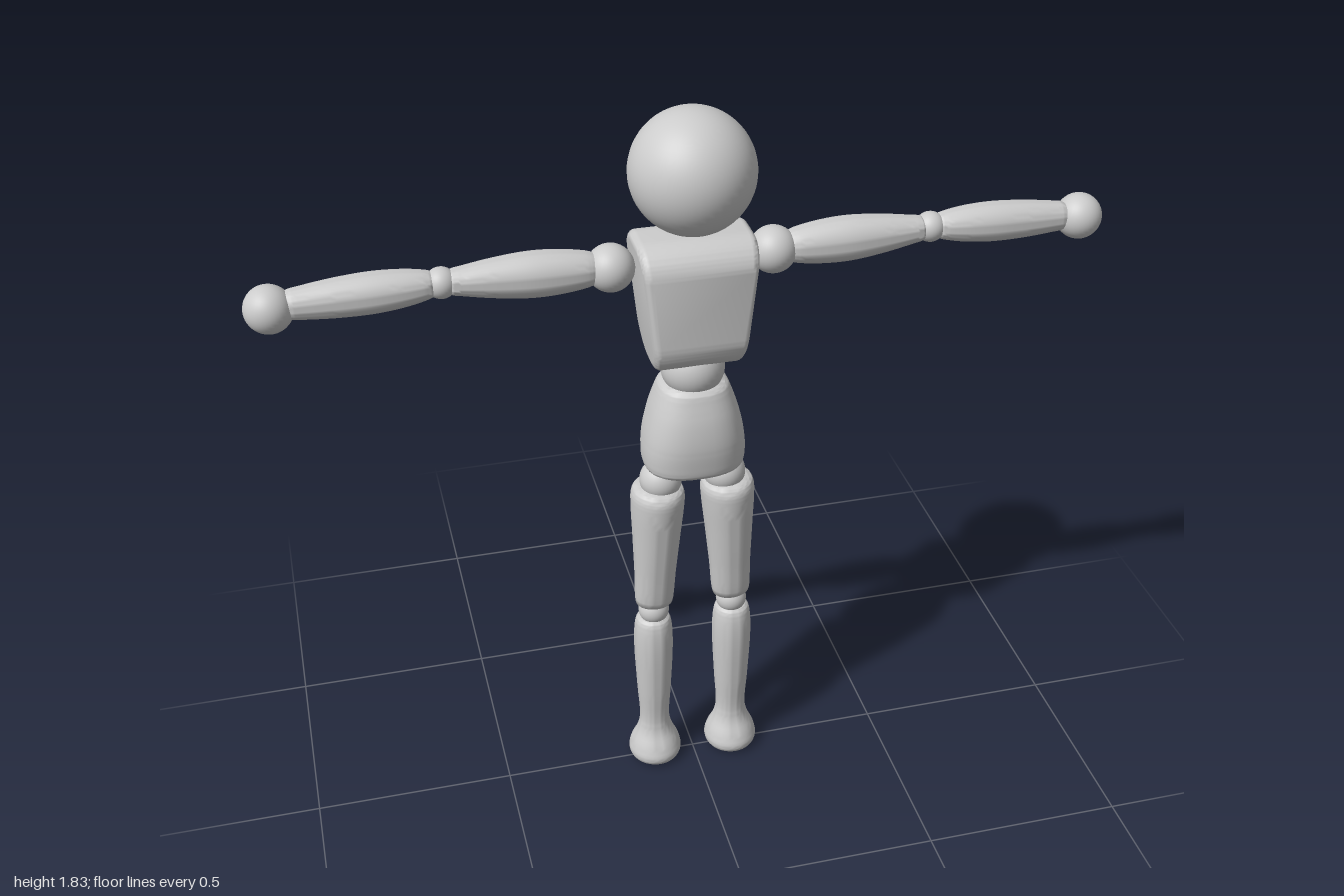
import * as THREE from 'three';
import { mergeVertices, toCreasedNormals } from 'three/addons/utils/BufferGeometryUtils.js';

const material = new THREE.MeshStandardMaterial({ color: 0xcccccc });

function add(group, name, geometry, x = 0, y = 0, z = 0) {
  const mesh = new THREE.Mesh(geometry, material);
  mesh.name = name;
  mesh.position.set(x, y, z);
  group.add(mesh);
  return mesh;
}

const ball = (r, w = 32, h = 24) => new THREE.SphereGeometry(r, w, h);

// Closed loft along y; sections are [y, halfWidthX, halfWidthZ], n is the superellipse power
function loft(sections, n = 2, rings = 40, sides = 40) {
  const curve = new THREE.CatmullRomCurve3(sections.map(s => new THREE.Vector3(...s)));
  const rows = curve.getPoints(rings);
  const first = rows[0], last = rows[rings];
  rows.unshift(new THREE.Vector3(first.x, 0, 0));
  rows.push(new THREE.Vector3(last.x, 0, 0));
  const pos = [], index = [];
  const power = v => Math.sign(v) * Math.abs(v) ** (2 / n);
  for (const r of rows) {
    for (let j = 0; j < sides; j++) {
      const a = j / sides * Math.PI * 2;
      pos.push(r.y * power(Math.cos(a)), r.x, r.z * power(Math.sin(a)));
    }
  }
  for (let i = 0; i < rows.length - 1; i++) {
    for (let j = 0; j < sides; j++) {
      const k = (j + 1) % sides;
      const a = i * sides + j, b = i * sides + k, c = a + sides, d = b + sides;
      if (i > 0) index.push(a, c, b);
      if (i < rows.length - 2) index.push(b, c, d);
      if (i === 0) index.push(a, c, d);
      if (i === 0) index.splice(-6, 3);
      if (i === rows.length - 2) continue;
    }
  }
  const g = new THREE.BufferGeometry();
  g.setAttribute('position', new THREE.Float32BufferAttribute(pos, 3));
  g.setIndex(index);
  return toCreasedNormals(g, 0.7);
}

// Limb segment whose local y axis runs from one joint to the next
function limb(group, name, from, to, sections) {
  const a = new THREE.Vector3(...from), dir = new THREE.Vector3(...to).sub(a);
  const len = dir.length();
  const mesh = add(group, name, loft(sections.map(([t, w, d]) => [t * len, w, d])), ...from);
  mesh.quaternion.setFromUnitVectors(new THREE.Vector3(0, 1, 0), dir.normalize());
}

// Chest: rounded side profile extruded across x, narrowing towards the waist
function chestGeometry() {
  const bevel = 0.02, w = 0.103 - bevel, top = 1.54 - bevel, bottom = 1.212 + bevel;
  const rt = 0.055, rb = 0.07;
  const s = new THREE.Shape();
  s.moveTo(-w + rb, bottom);
  s.lineTo(w - rb, bottom);
  s.absarc(w - rb, bottom + rb, rb, -Math.PI / 2, 0);
  s.lineTo(w, top - rt);
  s.absarc(w - rt, top - rt, rt, 0, Math.PI / 2);
  s.lineTo(-w + rt, top);
  s.absarc(-w + rt, top - rt, rt, Math.PI / 2, Math.PI);
  s.lineTo(-w, bottom + rb);
  s.absarc(-w + rb, bottom + rb, rb, Math.PI, Math.PI * 1.5);
  const half = 0.14;
  const g = new THREE.ExtrudeGeometry(s, {
    depth: 2 * (half - bevel), bevelThickness: bevel, bevelSize: bevel, bevelSegments: 5, curveSegments: 12,
  });
  g.translate(0, 0, -(half - bevel)).rotateY(Math.PI / 2);
  const p = g.attributes.position;
  for (let i = 0; i < p.count; i++) {
    const t = (p.getY(i) - 1.212) / 0.328;
    p.setX(i, p.getX(i) * (0.74 + 0.26 * t));
  }
  g.deleteAttribute('uv');
  g.deleteAttribute('normal');
  return toCreasedNormals(mergeVertices(g, 1e-5), 0.7);
}

export function createModel() {
  const model = new THREE.Group();
  model.name = 'mannequin';

  // Head and trunk
  add(model, 'head', ball(0.145, 48, 32), 0, 1.687);
  add(model, 'chest', chestGeometry());
  add(model, 'waist', ball(0.077), 0, 1.195);
  add(model, 'pelvis', loft([
    [0.928, 0.112, 0.09], [0.936, 0.121, 0.098], [0.97, 0.125, 0.104], [1.02, 0.121, 0.107],
    [1.08, 0.108, 0.1], [1.13, 0.092, 0.086], [1.152, 0.083, 0.078], [1.159, 0.076, 0.07],
  ], 2.5));

  for (const side of [1, -1]) {
    const label = side > 0 ? 'left' : 'right';

    // Arm, held straight out to the side
    const arm = new THREE.Group();
    arm.name = label + 'Arm';
    add(arm, 'shoulder', ball(0.056), side * 0.19, 1.473);
    limb(arm, 'upperArm', [side * 0.225, 1.476, 0], [side * 0.555, 1.483, 0], [
      [0, 0.036, 0.034], [0.06, 0.042, 0.041], [0.25, 0.051, 0.049], [0.45, 0.053, 0.051],
      [0.7, 0.045, 0.044], [0.9, 0.034, 0.035], [0.98, 0.029, 0.03], [1, 0.024, 0.025],
    ]);
    add(arm, 'elbow', ball(0.036), side * 0.57, 1.484);
    limb(arm, 'forearm', [side * 0.585, 1.484, 0], [side * 0.91, 1.473, 0], [
      [0, 0.026, 0.025], [0.03, 0.031, 0.031], [0.18, 0.041, 0.041], [0.4, 0.047, 0.046],
      [0.65, 0.045, 0.043], [0.88, 0.038, 0.036], [0.97, 0.034, 0.032], [1, 0.028, 0.027],
    ]);
    add(arm, 'hand', ball(0.055), side * 0.945, 1.468);
    model.add(arm);

    // Leg, ending in a round flared foot
    const leg = new THREE.Group();
    leg.name = label + 'Leg';
    add(leg, 'hipJoint', ball(0.052), side * 0.08, 0.885);
    limb(leg, 'thigh', [side * 0.101, 0.51, 0], [side * 0.087, 0.868, 0], [
      [0, 0.043, 0.033], [0.015, 0.047, 0.037], [0.3, 0.053, 0.05], [0.6, 0.06, 0.062],
      [0.85, 0.066, 0.071], [0.94, 0.066, 0.071], [0.985, 0.06, 0.063], [1, 0.05, 0.052],
    ]);
    add(leg, 'knee', ball(0.039), side * 0.102, 0.49);
    limb(leg, 'shinAndFoot', [side * 0.104, 0.003, 0], [side * 0.104, 0.47, 0], [
      [0, 0.048, 0.05], [0.02, 0.063, 0.065], [0.055, 0.069, 0.071], [0.12, 0.063, 0.061],
      [0.2, 0.047, 0.042], [0.28, 0.039, 0.036], [0.5, 0.044, 0.044],
      [0.8, 0.05, 0.052], [0.93, 0.048, 0.049], [0.985, 0.043, 0.043], [1, 0.036, 0.036],
    ]);
    model.add(leg);
  }
  return model;
}
